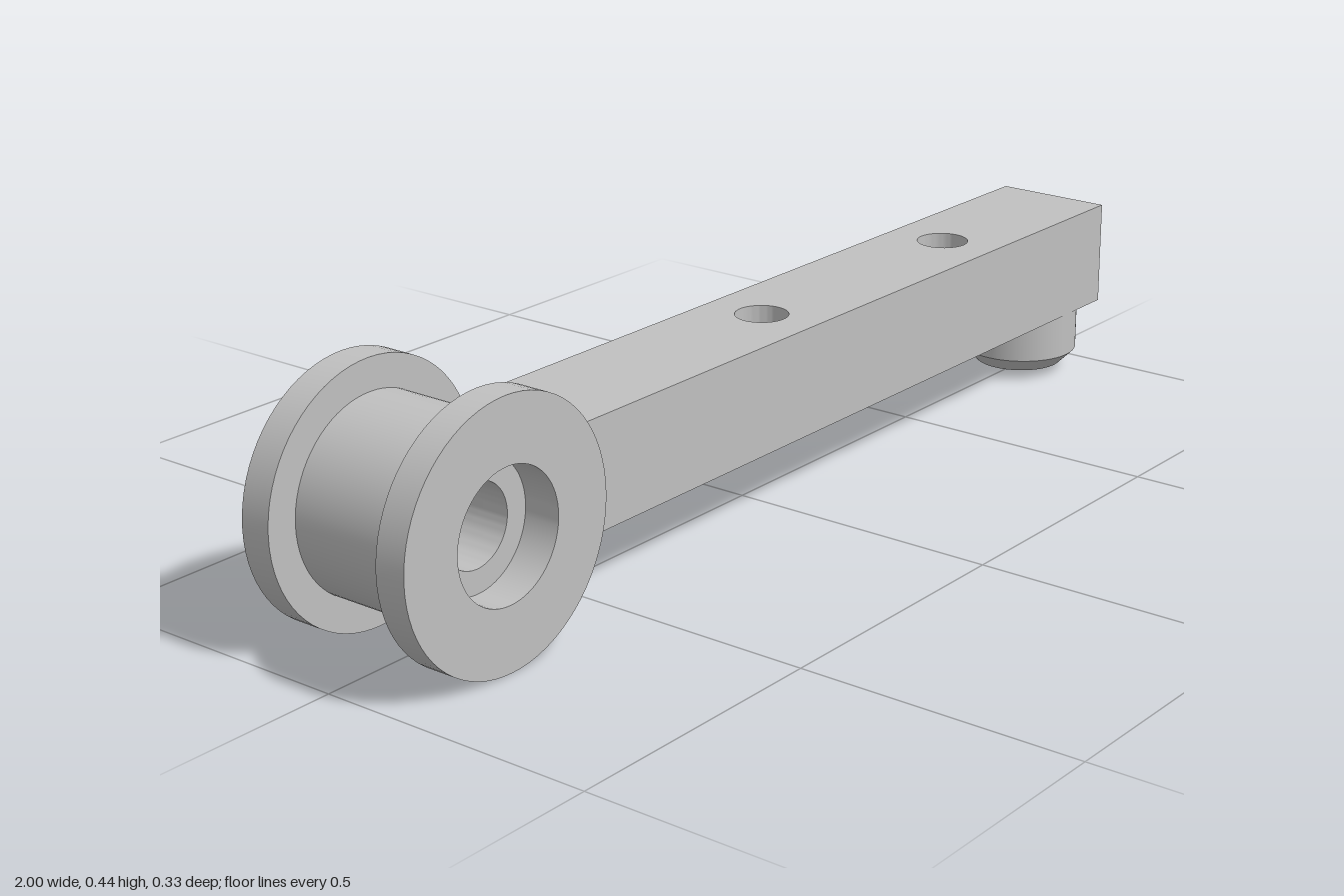
import * as THREE from 'three';
import { toCreasedNormals } from 'three/addons/utils/BufferGeometryUtils.js';

export function createModel() {
  const group = new THREE.Group();
  const metal = new THREE.MeshStandardMaterial({ color: 0xc0c0c0 });
  metal.name = 'light grey';

  const add = (name, geometry) => {
    const mesh = new THREE.Mesh(toCreasedNormals(geometry, 0.5), metal);
    mesh.name = name;
    group.add(mesh);
    return mesh;
  };
  const lathe = (points) =>
    new THREE.LatheGeometry(points.map(([r, y]) => new THREE.Vector2(r, y)), 72);

  // Flanged hub with a stepped bore, as one closed profile
  const hub = add('flangedHub', lathe([
    [0.07, -0.1], [0.111, -0.1], [0.111, -0.167], [0.222, -0.167], [0.222, -0.111],
    [0.167, -0.111], [0.167, 0.111], [0.222, 0.111], [0.222, 0.167], [0.111, 0.167],
    [0.111, 0.1], [0.07, 0.1], [0.07, -0.1],
  ]));
  hub.rotation.x = Math.PI / 2;
  hub.position.set(-0.778, 0.222, 0);

  // Rectangular plan outline, wound either way
  const rectangle = (path, x0, x1, z) => path
    .moveTo(x0, -z).lineTo(x1, -z).lineTo(x1, z).lineTo(x0, z).closePath();

  // Bar layer with two vertical through holes and an optional narrow groove
  const barLayer = (y0, y1, grooved) => {
    const shape = rectangle(new THREE.Shape(), -0.643, 1, 0.111);
    for (const x of [0.055, 0.61]) {
      shape.holes.push(new THREE.Path().absarc(x, 0, 0.047, 0, Math.PI * 2, true));
    }
    if (grooved) shape.holes.push(rectangle(new THREE.Path(), -0.635, -0.37, 0.005));
    const geometry = new THREE.ExtrudeGeometry(shape, {
      depth: y1 - y0, bevelEnabled: false, curveSegments: 32,
    });
    return geometry.rotateX(-Math.PI / 2).translate(0, y0, 0);
  };
  add('armUnderside', barLayer(0.125, 0.14, true));
  add('arm', barLayer(0.14, 0.319, false));

  // Chamfered peg below the free end
  const peg = add('peg', lathe([
    [0, 0.014], [0.083, 0.014], [0.111, 0.042], [0.111, 0.125], [0, 0.125],
  ]));
  peg.position.x = 0.889;

  return group;
}
